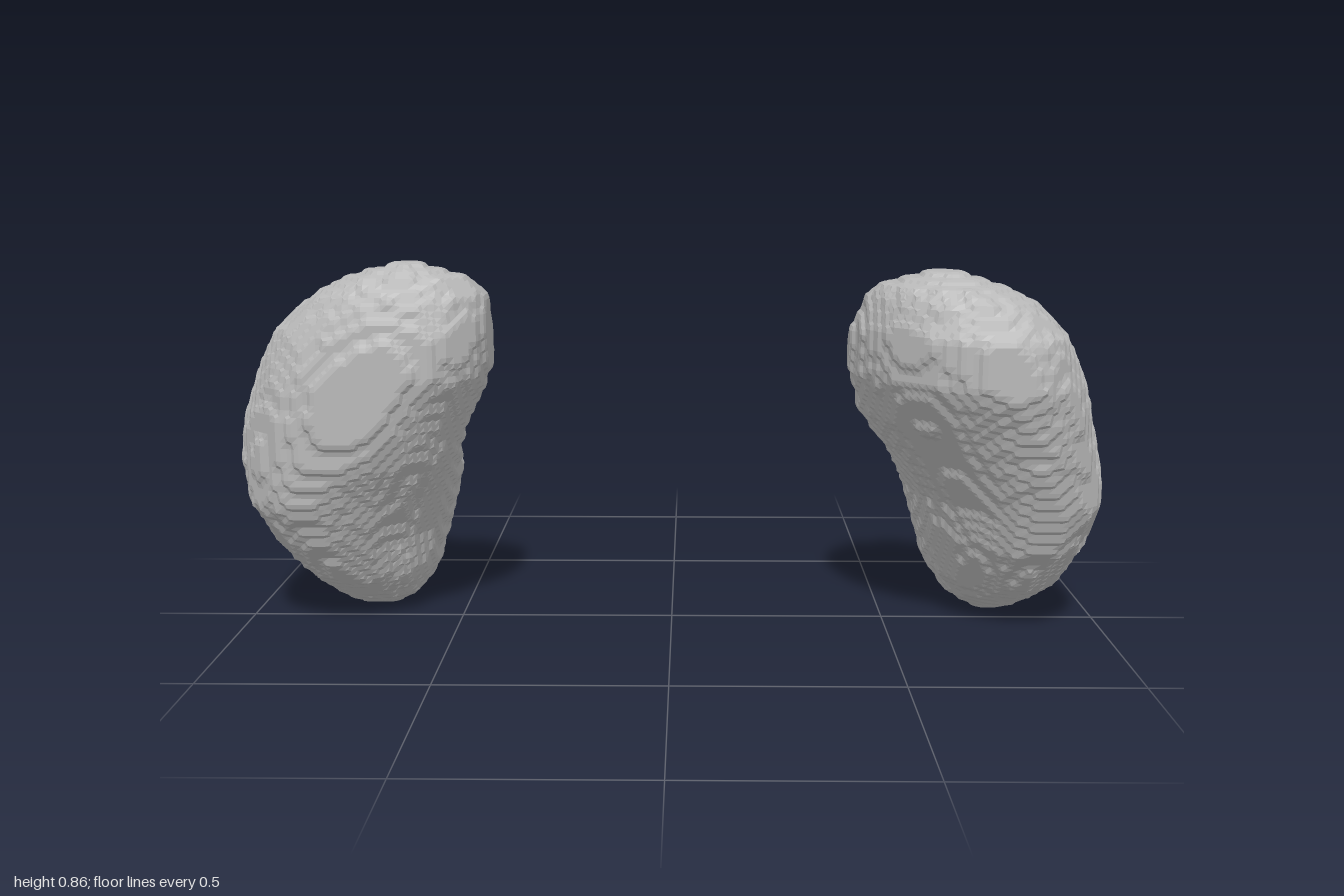
import * as THREE from 'three';

const STEP = 0.0145; // size of the stepped surface facets

// Horizontal slices of each organ: y, xMin, xMax, zMin, zMax, slant of the oval
const rightSlices = [
  [-0.004, -0.75, -0.70, -0.22, -0.12, 0], [0.012, -0.79, -0.64, -0.26, -0.07, 0],
  [0.04, -0.83, -0.61, -0.295, -0.02, -0.05], [0.1, -0.88, -0.575, -0.345, 0.06, -0.15],
  [0.2, -0.94, -0.55, -0.38, 0.14, -0.27], [0.3, -0.985, -0.525, -0.375, 0.20, -0.22],
  [0.4, -0.998, -0.50, -0.32, 0.24, -0.05], [0.5, -0.99, -0.465, -0.28, 0.26, 0],
  [0.6, -0.955, -0.42, -0.22, 0.265, 0.05], [0.7, -0.90, -0.405, -0.135, 0.25, 0.05],
  [0.78, -0.81, -0.415, -0.05, 0.22, 0], [0.82, -0.73, -0.46, 0.015, 0.195, 0],
  [0.855, -0.62, -0.56, 0.1, 0.16, 0],
];
const leftSlices = [
  [-0.004, 0.75, 0.79, -0.20, -0.10, 0.1], [0.012, 0.70, 0.83, -0.23, -0.04, 0.15],
  [0.04, 0.665, 0.865, -0.265, 0.01, 0.2], [0.1, 0.62, 0.92, -0.32, 0.10, 0.25],
  [0.2, 0.59, 0.965, -0.345, 0.19, 0.27], [0.3, 0.565, 0.988, -0.35, 0.245, 0.27],
  [0.4, 0.51, 0.975, -0.32, 0.285, 0.25], [0.5, 0.44, 0.95, -0.285, 0.33, 0.24],
  [0.6, 0.41, 0.915, -0.22, 0.375, 0.24], [0.7, 0.41, 0.87, -0.12, 0.372, 0.26],
  [0.78, 0.44, 0.79, -0.03, 0.325, 0.27], [0.81, 0.47, 0.73, 0.03, 0.29, 0.25],
  [0.84, 0.56, 0.64, 0.13, 0.21, 0.2],
];

// Inside test: slanted oval slices with a scooped hollow on the inner back side
function makeBean(slices, power, hollow) {
  return (x, y, z) => {
    const n = slices.findIndex((s) => s[0] > y);
    if (n < 1) return false;
    const a = slices[n - 1], b = slices[n];
    const t = (y - a[0]) / (b[0] - a[0]);
    const [, x0, x1, z0, z1, slant] = a.map((v, i) => v + (b[i] - v) * t);
    const u = (2 * x - x0 - x1) / (x1 - x0);
    const v = (2 * z - z0 - z1) / (z1 - z0);
    const w = (v - u * slant) / Math.sqrt(1 - slant * slant);
    const lumps = 0.025 * Math.sin(19 * y + 8 * z) * Math.sin(17 * x - 11 * z);
    if (Math.abs(u) ** power + Math.abs(w) ** power > 1 + lumps) return false;
    // depth runs diagonally inward from the spine side, span runs across it
    const side = Math.sign(x);
    const depth = (side * x + z) / Math.SQRT2, span = (side * x - z) / Math.SQRT2;
    return ((depth - hollow.depth) / hollow.rDepth) ** 2 + ((span - hollow.span) / hollow.rSpan) ** 2
      + ((y - hollow.y) / hollow.rY) ** 2 > 1;
  };
}

// Stepped skin around a sampled solid: one vertex per mixed cell, one quad per crossed edge
function skin(inside, min, max) {
  const n = min.map((m, i) => Math.ceil((max[i] - m) / STEP) + 1);
  const id = (p) => p[0] + n[0] * (p[1] + n[1] * p[2]);
  const solid = new Uint8Array(n[0] * n[1] * n[2]);
  const each = (fn) => {
    for (let k = 0; k < n[2] - 1; k++)
      for (let j = 0; j < n[1] - 1; j++)
        for (let i = 0; i < n[0] - 1; i++) fn([i, j, k]);
  };
  each((p) => {
    solid[id(p)] = inside(...p.map((c, i) => min[i] + c * STEP)) ? 1 : 0;
  });
  const positions = [], index = [], vertexOf = new Map();
  const strides = [1, n[0], n[0] * n[1]];
  each((p) => {
    const sum = [0, 0, 0];
    let count = 0;
    for (let c = 0; c < 8; c++) {
      const corner = [c & 1, (c >> 1) & 1, c >> 2];
      const at = id(p.map((v, i) => v + corner[i]));
      for (let a = 0; a < 3; a++) {
        if (corner[a] || solid[at] === solid[at + strides[a]]) continue;
        corner.forEach((v, i) => { sum[i] += v + (i === a ? 0.5 : 0); });
        count++;
      }
    }
    if (!count) return;
    vertexOf.set(id(p), positions.length / 3);
    sum.forEach((s, i) => positions.push(min[i] + (p[i] + s / count) * STEP));
  });
  each((p) => {
    const at = id(p);
    for (let a = 0; a < 3; a++) {
      if (solid[at] === solid[at + strides[a]]) continue;
      const b = strides[(a + 1) % 3], c = strides[(a + 2) % 3];
      const q = [at - b - c, at - c, at, at - b].map((cell) => vertexOf.get(cell));
      if (!solid[at]) q.reverse();
      index.push(q[0], q[1], q[2], q[0], q[2], q[3]);
    }
  });
  const indexed = new THREE.BufferGeometry();
  indexed.setAttribute('position', new THREE.Float32BufferAttribute(positions, 3));
  indexed.setIndex(index);
  const geometry = indexed.toNonIndexed();
  geometry.computeVertexNormals();
  return geometry;
}

export function createModel() {
  const group = new THREE.Group();
  group.name = 'kidneyPair';
  const grey = new THREE.MeshStandardMaterial({ color: 0xb8b8b8, flatShading: true });
  grey.name = 'light grey';

  const add = (name, inside, xMin, xMax) => {
    const mesh = new THREE.Mesh(skin(inside, [xMin, -0.05, -0.46], [xMax, 0.92, 0.46]), grey);
    mesh.name = name;
    group.add(mesh);
  };
  // broad notch on the right one, narrow tall pit on the left one
  add('rightKidney', makeBean(rightSlices, 2.3,
    { depth: 0.16, rDepth: 0.205, span: 0.5, rSpan: 0.28, y: 0.53, rY: 0.2 }), -1.06, -0.34);
  add('leftKidney', makeBean(leftSlices, 2.1,
    { depth: 0.23, rDepth: 0.13, span: 0.49, rSpan: 0.12, y: 0.47, rY: 0.17 }), 0.34, 1.06);
  return group;
}
